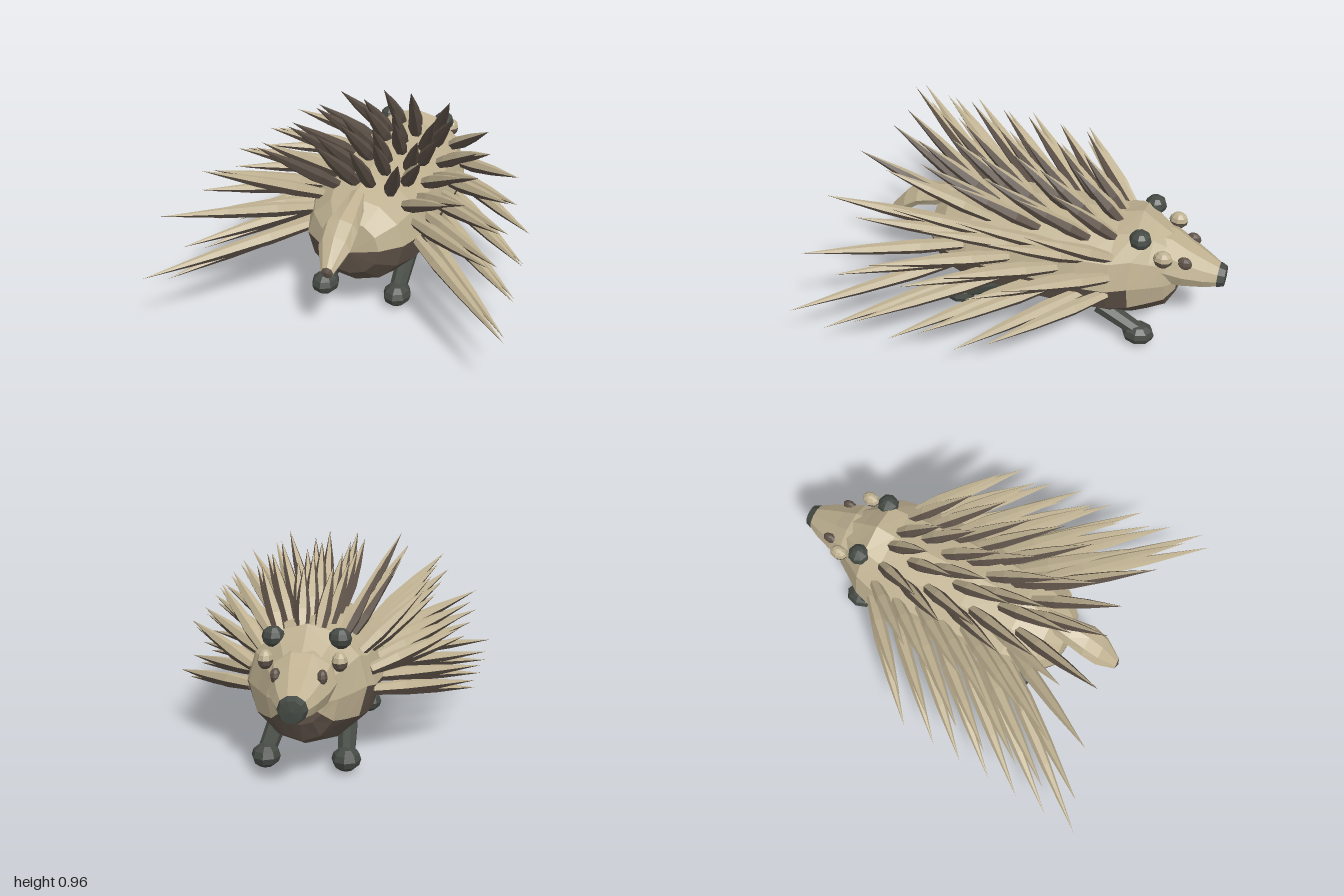
import * as THREE from 'three';

const mat = (name, color) => {
  const m = new THREE.MeshStandardMaterial({ color });
  m.name = name;
  return m;
};

export function createModel() {
  const tan = mat('tan', 0xbfb191);
  const brown = mat('brown', 0x5f5349);
  const charcoal = mat('charcoal', 0x454a44);
  const model = new THREE.Group();

  const add = (name, geometry, material, parent = model) => {
    const mesh = new THREE.Mesh(geometry, material);
    mesh.name = name;
    parent.add(mesh);
    return mesh;
  };

  // Flat-faced skin over a row of rings; second material where isDark(ring, side)
  const loft = (rings, isDark = () => false) => {
    const lists = [[], []];
    const n = rings[0].length;
    for (let i = 0; i + 1 < rings.length; i++) {
      for (let k = 0; k < n; k++) {
        const j = (k + 1) % n;
        const a = rings[i][k], b = rings[i][j], c = rings[i + 1][j], d = rings[i + 1][k];
        const out = lists[isDark(i, k) ? 1 : 0];
        for (const t of [[a, d, c], [a, c, b]]) {
          if (new THREE.Triangle(...t).getArea() > 1e-9) t.forEach((p) => out.push(p.x, p.y, p.z));
        }
      }
    }
    const g = new THREE.BufferGeometry();
    g.setAttribute('position', new THREE.Float32BufferAttribute([...lists[0], ...lists[1]], 3));
    g.addGroup(0, lists[0].length / 3, 0);
    g.addGroup(lists[0].length / 3, lists[1].length / 3, 1);
    g.computeVertexNormals();
    return g;
  };

  // Elliptical rings across z, each given as [z, half width, top, bottom]
  const ringsZ = (rows, n) => rows.map(([z, rx, top, bottom]) =>
    Array.from({ length: n }, (_, k) => {
      const a = (k / n) * Math.PI * 2;
      return new THREE.Vector3(rx * Math.cos(a), (top + bottom) / 2 + (top - bottom) / 2 * Math.sin(a), z);
    }));

  // Tapered spike from base to tip; profile is [radius, fraction]; faces that point down are dark
  const spike = (base, tip, profile, n) => {
    const axis = tip.clone().sub(base);
    const d = axis.clone().normalize();
    const u = new THREE.Vector3(0, 1, 0).addScaledVector(d, -d.y).normalize();
    const s = d.clone().cross(u);
    const rings = profile.map(([r, t]) => Array.from({ length: n }, (_, k) => {
      const a = ((k - 0.5) / n) * Math.PI * 2;
      return base.clone().addScaledVector(axis, t)
        .addScaledVector(u, r * Math.cos(a)).addScaledVector(s, -r * Math.sin(a));
    }));
    // ring order must run counter-clockwise about the reversed axis
    return loft(rings, (i, k) => u.y * Math.cos((k / n) * Math.PI * 2) < 0.42);
  };

  const ball = (name, r, scale, pos, material, parent, theta0 = 0, theta = Math.PI, detail = [8, 6]) => {
    const g = new THREE.SphereGeometry(r, detail[0], detail[1], 0, Math.PI * 2, theta0, theta).toNonIndexed();
    g.scale(...scale);
    g.computeVertexNormals();
    const mesh = add(name, g, material, parent);
    mesh.position.set(...pos);
    return mesh;
  };

  // Body with a brown belly, tan at the throat
  const bodyRings = ringsZ([
    [0.55, 0, 0.35, 0.35], [0.53, 0.15, 0.51, 0.23], [0.44, 0.245, 0.59, 0.15],
    [0.28, 0.3, 0.64, 0.105], [0, 0.32, 0.66, 0.092], [-0.3, 0.325, 0.66, 0.095],
    [-0.46, 0.31, 0.66, 0.1], [-0.56, 0.28, 0.685, 0.11], [-0.64, 0.22, 0.63, 0.135],
    [-0.72, 0.165, 0.58, 0.17], [-0.765, 0.11, 0.48, 0.26], [-0.77, 0, 0.38, 0.38],
  ], 12);
  add('body', loft(bodyRings, (i, k) => (i < 7 ? k >= 6 : k >= 7 && k <= 10)), [tan, brown]);

  // Muzzle and nose
  add('muzzle', loft(ringsZ([
    [-0.62, 0.17, 0.6, 0.31], [-0.72, 0.16, 0.59, 0.31], [-0.8, 0.14, 0.54, 0.315],
    [-0.9, 0.1, 0.485, 0.322], [-0.965, 0.065, 0.45, 0.33], [-0.966, 0, 0.39, 0.39],
  ], 10)), [tan, brown]);
  add('nose', loft(ringsZ([
    [-0.96, 0, 0.39, 0.39], [-0.961, 0.07, 0.455, 0.327], [-0.995, 0.055, 0.44, 0.335], [-1, 0, 0.39, 0.39],
  ], 10)), charcoal);

  // Arched tail, tip first
  add('tail', loft(ringsZ([
    [0.825, 0, 0.385, 0.385], [0.815, 0.03, 0.41, 0.355], [0.72, 0.078, 0.52, 0.4],
    [0.64, 0.085, 0.57, 0.46], [0.55, 0.07, 0.59, 0.47], [0.4, 0.045, 0.62, 0.5],
  ], 8), (i) => i === 0), [tan, brown]);

  for (const side of [1, -1]) {
    const word = side > 0 ? 'left' : 'right';

    // Face details
    ball(word + 'Ear', 0.056, [1, 0.9, 1], [side * 0.155, 0.625, -0.585], charcoal);
    ball(word + 'EyeTop', 0.046, [0.8, 1, 1.05], [side * 0.17, 0.545, -0.705], tan, model, 0, Math.PI / 2, [8, 3]);
    ball(word + 'EyeBottom', 0.046, [0.8, 1, 1.05], [side * 0.17, 0.545, -0.705], brown, model, Math.PI / 2, Math.PI / 2, [8, 3]);
    ball(word + 'CheekPatch', 0.04, [0.6, 0.9, 1], [side * 0.105, 0.495, -0.8], brown);

    // Legs and feet
    for (const [name, hipZ, footZ] of [['Back', 0.11, 0.365], ['Front', -0.4, -0.615]]) {
      const leg = new THREE.Group();
      leg.name = word + name + 'Leg';
      model.add(leg);
      add('shin', spike(
        new THREE.Vector3(side * 0.17, 0.175, hipZ), new THREE.Vector3(side * 0.19, 0.075, footZ),
        [[0, 0], [0.05, 0], [0.042, 1], [0, 1]], 8), [charcoal, charcoal], leg);
      ball('foot', 0.07, [1, 0.82, 1.2], [side * 0.19, 0.06, footZ], charcoal, leg);
    }

    // Quills: seven staggered hoops of five rows, longer toward the rump and flanks
    const quills = new THREE.Group();
    quills.name = word + 'Quills';
    model.add(quills);
    for (let hoop = 0; hoop < 7; hoop++) {
      const t = hoop / 6;
      for (let row = 0; row < 5; row++) {
        const a = THREE.MathUtils.degToRad(8 + 22 * row + (hoop % 2) * 6);
        const reach = (0.585 + 0.069 * row) * (0.9 + 0.1 * t);
        const fit = hoop === 6 ? 0.92 : 1;
        const base = new THREE.Vector3(
          side * 0.29 * fit * Math.sin(a), 0.38 + 0.25 * fit * Math.cos(a), -0.46 + 0.77 * t);
        const tip = new THREE.Vector3(
          side * reach * Math.sin(a), 0.38 + reach * Math.cos(a),
          THREE.MathUtils.lerp(-0.22 + 0.0525 * row, 0.73 + 0.065 * row, t));
        add('quill', spike(base, tip,
          [[0, 0], [0.027, 0], [0.037, 0.28], [0.026, 0.6], [0, 1]], 6), [tan, brown], quills);
      }
    }
  }
  return model;
}
